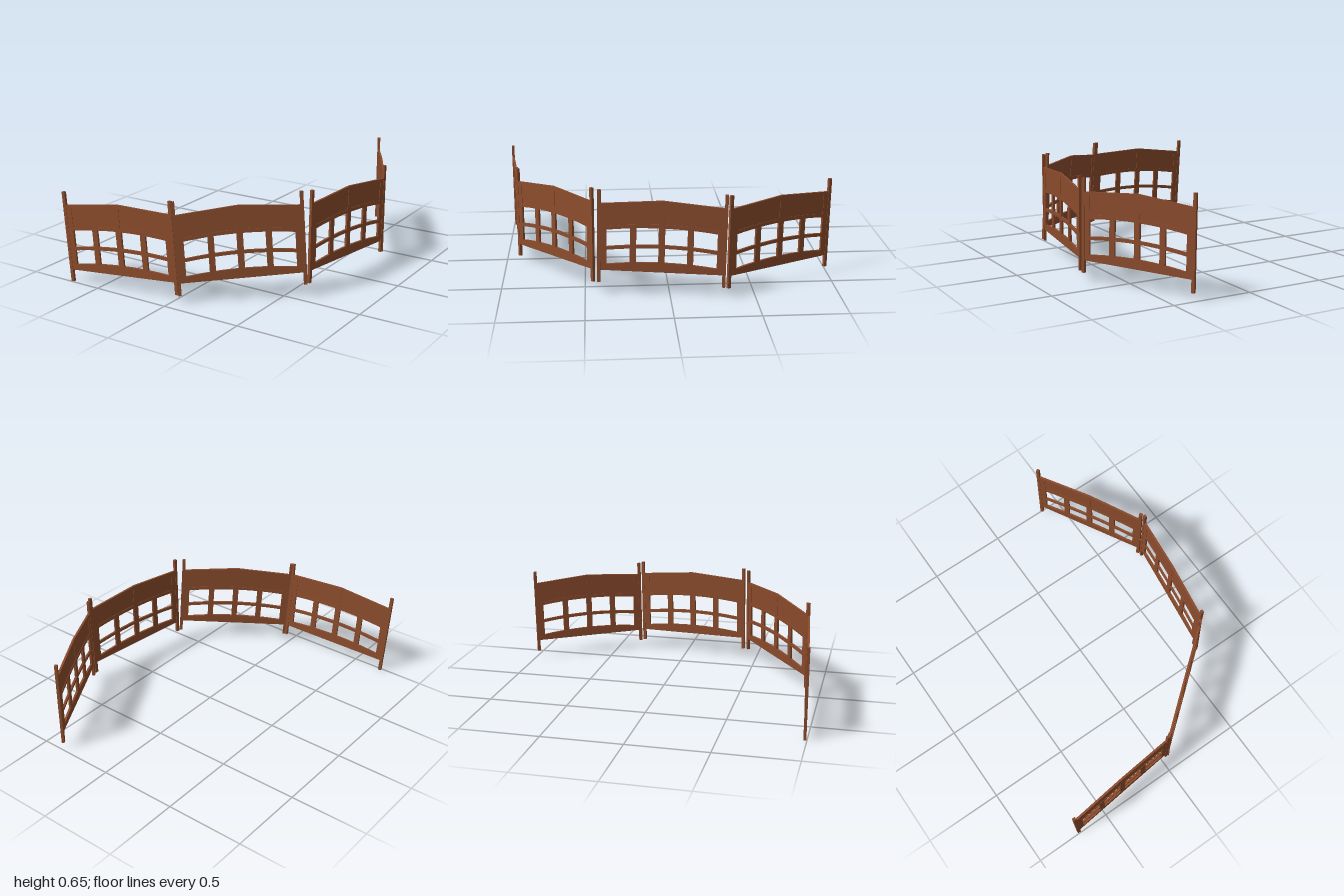
import * as THREE from 'three';

const L = 0.735;          // distance between the two posts of a section
const POST_H = 0.565;
const wood = new THREE.MeshStandardMaterial({ color: 0x8a4b2c, flatShading: true });

// Rails bow upwards towards the middle of a section
const bow = (s) => 0.028 * (1 - (2 * s / L - 1) ** 2);
// The top edge is a shallow gable
const gable = (s) => 0.484 + 0.03 * (1 - Math.abs(2 * s / L - 1));

// Closed outline between two curves, from s0 to s1
function bowedOutline(Type, s0, s1, low, high, n = 3) {
  const pts = [];
  for (let i = 0; i <= n; i++) {
    const s = s0 + (s1 - s0) * i / n;
    pts.push(new THREE.Vector2(s, low(s)));
  }
  for (let i = n; i >= 0; i--) {
    const s = s0 + (s1 - s0) * i / n;
    pts.push(new THREE.Vector2(s, high(s)));
  }
  return new Type(pts);
}

function extrude(shape, depth) {
  const g = new THREE.ExtrudeGeometry(shape, { depth, bevelEnabled: false });
  g.translate(-L / 2, 0, -depth / 2);
  return g;
}

function add(group, name, geometry) {
  const mesh = new THREE.Mesh(geometry, wood);
  mesh.name = name;
  group.add(mesh);
  return mesh;
}

// One fence section, standing on y = 0 and centred on x = 0
function makeSection() {
  const section = new THREE.Group();

  // Frame with two rows of window openings and two upper panel openings
  const frame = bowedOutline(THREE.Shape, 0, L, () => 0.076, gable, 2);
  const columns = [[0.045, 0.182], [0.218, 0.349], [0.386, 0.517], [0.553, 0.69]];
  for (const [a, b] of columns) {
    for (const [low, high] of [[0.107, 0.196], [0.216, 0.32]]) {
      frame.holes.push(bowedOutline(THREE.Path, a, b, (s) => low + bow(s), (s) => high + bow(s)));
    }
  }
  const panels = [[0.045, 0.353], [0.382, 0.69]];
  const panelLow = (s) => 0.342 + bow(s);
  const panelHigh = (s) => gable(s) - 0.022;
  for (const [a, b] of panels) {
    frame.holes.push(bowedOutline(THREE.Path, a, b, panelLow, panelHigh));
  }
  add(section, 'frame', extrude(frame, 0.013));

  // Thin boards sunk into the upper openings
  for (const [a, b] of panels) {
    add(section, 'upperPanel', extrude(bowedOutline(THREE.Shape, a, b, panelLow, panelHigh), 0.007));
  }

  // Posts at both ends
  for (const side of [-1, 1]) {
    const post = add(section, 'post', new THREE.BoxGeometry(0.02, POST_H, 0.017));
    post.position.set(side * L / 2, POST_H / 2, 0);
  }
  return section;
}

// Foot of the left post, foot of the right post, and the upward lean of each section
const layout = [
  { from: [-0.697, 0.0, 0.987], to: [0.028, 0.047, 0.914], up: [-0.06, 1, 0.006] },
  { from: [0.052, 0.045, 0.91], to: [0.617, 0.083, 0.455], up: [-0.074, 1, 0] },
  { from: [0.625, 0.083, 0.423], to: [0.727, 0.067, -0.313], up: [0, 1, 0] },
  { from: [0.724, 0.06, -0.335], to: [0.363, 0.045, -0.987], up: [0, 1, 0] },
];

export function createModel() {
  const fence = new THREE.Group();
  fence.name = 'fence';
  for (const { from, to, up } of layout) {
    const a = new THREE.Vector3(...from);
    const b = new THREE.Vector3(...to);
    const along = b.clone().sub(a).normalize();
    const normal = along.clone().cross(new THREE.Vector3(...up)).normalize();
    const upright = normal.clone().cross(along);

    const section = makeSection();
    section.name = 'fenceSection';
    section.quaternion.setFromRotationMatrix(new THREE.Matrix4().makeBasis(along, upright, normal));
    section.position.copy(a).lerp(b, 0.5);
    fence.add(section);
  }
  return fence;
}
